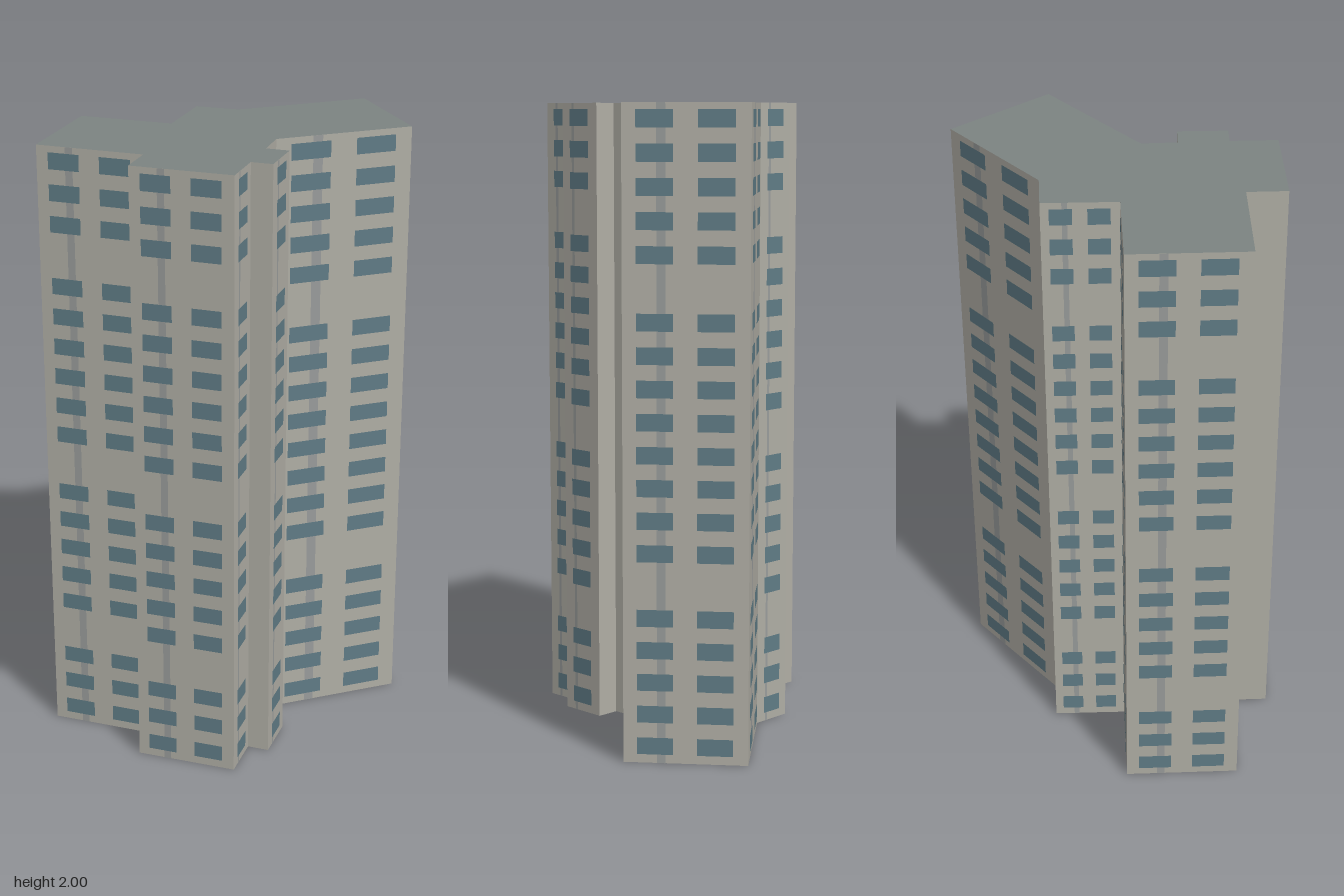
import * as THREE from 'three';
import { mergeGeometries } from 'three/addons/utils/BufferGeometryUtils.js';

const HEIGHT = 2;
const FLOORS = 20;

// Floors without windows, counted from the ground
const WEST_GAPS = [3, 9, 16];
const EAST_GAPS = [5, 14];

// Window columns as start and end fractions of the wall width
const PAIR = [[0.11, 0.4], [0.59, 0.88]];
const SINGLE = [[0.22, 0.76]];
const BLANK = [];

// Floor plan corners [x, z]; each entry also describes the wall to the next corner
const PLAN = [
  { p: [-0.302, 0.333], columns: PAIR, gaps: WEST_GAPS },
  { p: [0.005, 0.448], columns: SINGLE, gaps: WEST_GAPS },
  { p: [0.058, 0.308], columns: BLANK },
  { p: [0.123, 0.333], columns: SINGLE, gaps: WEST_GAPS },
  { p: [0.18, 0.186], columns: BLANK },
  { p: [0.111, 0.158], columns: BLANK },
  { p: [0.148, 0.051], columns: PAIR, gaps: EAST_GAPS },
  { p: [0.581, -0.086], columns: PAIR, gaps: EAST_GAPS },
  { p: [0.467, -0.452], columns: PAIR, gaps: EAST_GAPS },
  { p: [0.047, -0.319], columns: SINGLE, gaps: WEST_GAPS },
  { p: [-0.086, -0.367], columns: PAIR, gaps: WEST_GAPS },
  { p: [-0.17, -0.148], columns: PAIR, gaps: WEST_GAPS },
  { p: [-0.455, -0.255], columns: PAIR, gaps: WEST_GAPS },
  { p: [-0.583, 0.089], columns: PAIR, gaps: WEST_GAPS },
  { p: [-0.258, 0.214], columns: BLANK },
];

const paint = (color, side = THREE.FrontSide) =>
  new THREE.MeshStandardMaterial({ color, side });

// Upright rectangle in a wall's own frame
function panel(x0, x1, y0, y1, z) {
  return new THREE.PlaneGeometry(x1 - x0, y1 - y0)
    .translate((x0 + x1) / 2, (y0 + y1) / 2, z);
}

function named(name, geometry, material) {
  const mesh = new THREE.Mesh(geometry, material);
  mesh.name = name;
  return mesh;
}

export function createModel() {
  const model = new THREE.Group();
  model.name = 'towerBlock';
  const wallPaint = paint(0xb0aea5, THREE.DoubleSide);
  const roofPaint = paint(0x7c8482, THREE.DoubleSide);
  const glassPaint = paint(0x607c86);
  const stripePaint = paint(0x999c9b);

  PLAN.forEach(({ p, columns, gaps }, i) => {
    const q = PLAN[(i + 1) % PLAN.length].p;
    const dx = q[0] - p[0];
    const dz = q[1] - p[1];
    const width = Math.hypot(dx, dz);

    // Wall frame: x runs along the wall, z points outwards
    const side = new THREE.Group();
    side.name = 'facade';
    side.position.set(p[0], 0, p[1]);
    side.rotation.y = Math.atan2(-dz, dx);
    side.add(named('wall', panel(0, width, 0, HEIGHT, 0), wallPaint));

    if (columns.length) {
      // Faint vertical stripe behind the windows
      side.add(named('wallStripe',
        panel(0.27 * width, 0.34 * width, 0, HEIGHT, 0.001), stripePaint));

      // Window grid, leaving out the blank floors
      const panes = [];
      for (let floor = 0; floor < FLOORS; floor++) {
        if (gaps.includes(floor)) continue;
        const y = floor * HEIGHT / FLOORS;
        for (const [a, b] of columns) {
          panes.push(panel(a * width, b * width, y + 0.027, y + 0.08, 0.002));
        }
      }
      side.add(named('windows', mergeGeometries(panes), glassPaint));
    }
    model.add(side);
  });

  // Flat roof over the whole plan; the underside stays open
  const outline = new THREE.Shape(PLAN.map(({ p }) => new THREE.Vector2(p[0], -p[1])));
  const roof = named('roof', new THREE.ShapeGeometry(outline).rotateX(-Math.PI / 2), roofPaint);
  roof.position.y = HEIGHT;
  model.add(roof);

  return model;
}
